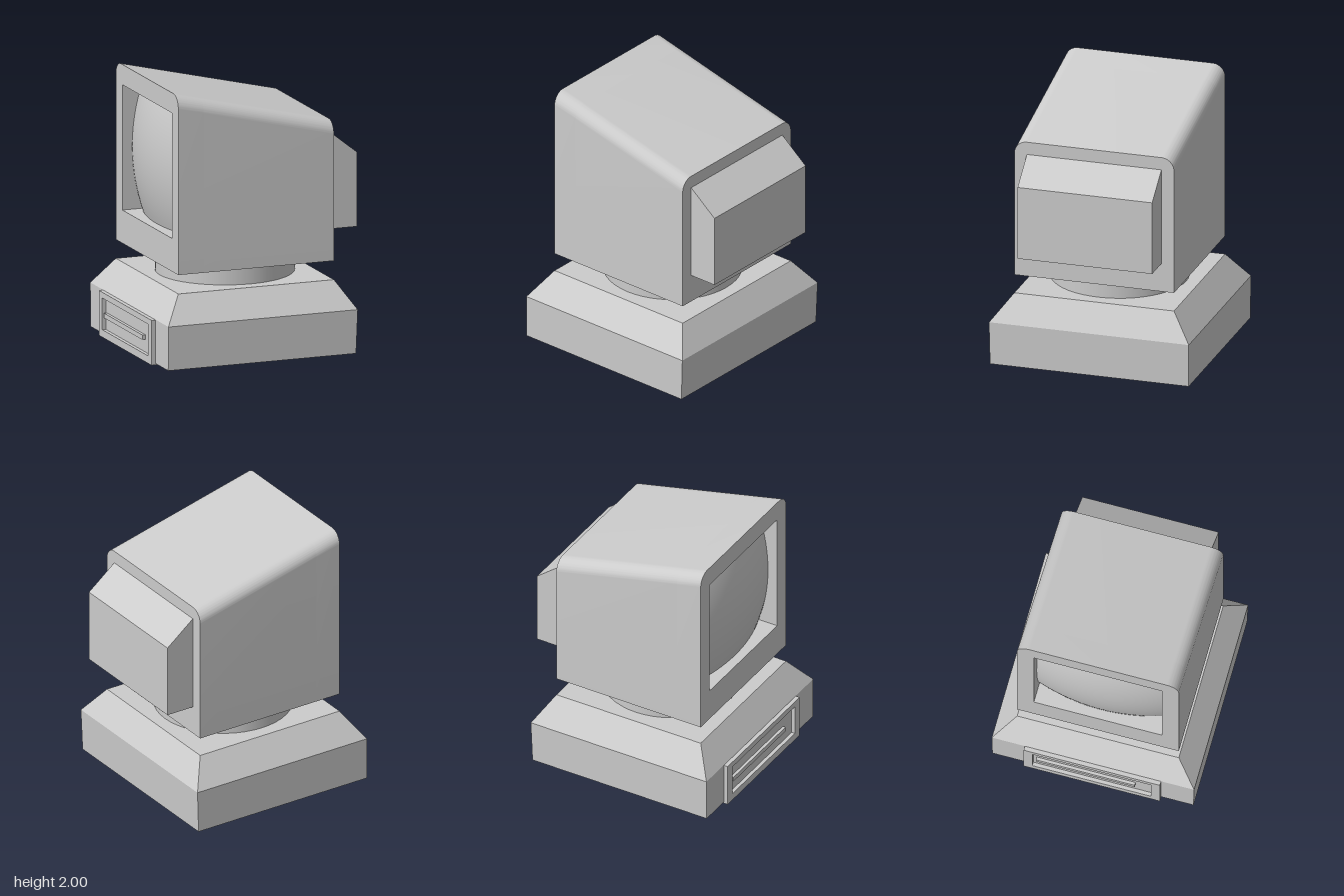
import * as THREE from 'three';
import { toCreasedNormals } from 'three/addons/utils/BufferGeometryUtils.js';

const material = new THREE.MeshStandardMaterial({ color: 0xcccccc });

function addPart(group, name, geometry) {
  const mesh = new THREE.Mesh(geometry, material);
  mesh.name = name;
  group.add(mesh);
  return mesh;
}

// Rectangle path in (z, y), used as outline or hole
function rect(target, halfZ, y0, y1) {
  target.moveTo(-halfZ, y0);
  target.lineTo(halfZ, y0);
  target.lineTo(halfZ, y1);
  target.lineTo(-halfZ, y1);
  target.closePath();
  return target;
}

// Extrude a (z, y) shape along x from x0 to x1
function extrudeX(shape, x0, x1) {
  const g = new THREE.ExtrudeGeometry(shape, { depth: x1 - x0, bevelEnabled: false, curveSegments: 10 });
  return g.rotateY(Math.PI / 2).translate(x0, 0, 0);
}

// Monitor section: square at the bottom, rounded at the top corners
function caseShape() {
  const s = new THREE.Shape();
  s.moveTo(-0.605, 0.675);
  s.lineTo(0.605, 0.675);
  s.lineTo(0.605, 1.905);
  s.absellipse(0.51, 1.905, 0.095, 0.095, 0, Math.PI / 2);
  s.lineTo(-0.51, 2);
  s.absellipse(-0.51, 1.905, 0.095, 0.095, Math.PI / 2, Math.PI);
  s.closePath();
  return s;
}

// Lower the outer roof towards the back, leaving the screen opening square
function slopeRoof(geometry) {
  const p = geometry.attributes.position;
  for (let i = 0; i < p.count; i++) {
    if (p.getY(i) > 1.55 && Math.abs(p.getZ(i)) > 0.5) {
      p.setY(i, p.getY(i) - (p.getX(i) + 0.63) * 0.24);
    }
  }
  return toCreasedNormals(geometry, 0.5);
}

function createBase() {
  // Bottom, shoulder and top rows: [y, xMin, xMax, halfZ]
  const rows = [[0.01, -0.768, 0.693, 0.753], [0.335, -0.768, 0.705, 0.757], [0.535, -0.63, 0.58, 0.605]];
  const g = new THREE.BoxGeometry(2, 2, 2, 1, 2, 1).toNonIndexed();
  const p = g.attributes.position;
  for (let i = 0; i < p.count; i++) {
    const [y, x0, x1, hz] = rows[Math.round(p.getY(i)) + 1];
    p.setXYZ(i, p.getX(i) < 0 ? x0 : x1, y, p.getZ(i) * hz);
  }
  g.computeVertexNormals();
  return g;
}

// Bulging glass, a patch of a large sphere facing -x
function createScreen() {
  const g = new THREE.PlaneGeometry(0.96, 0.93, 24, 24);
  const p = g.attributes.position;
  for (let i = 0; i < p.count; i++) {
    p.setZ(i, -(p.getX(i) ** 2 + p.getY(i) ** 2) / 2.8);
  }
  g.computeVertexNormals();
  return g.rotateY(-Math.PI / 2).translate(-0.635, 1.385, 0);
}

export function createModel() {
  const model = new THREE.Group();
  model.name = 'desktopComputer';

  // Base unit and swivel neck
  addPart(model, 'base', createBase());
  addPart(model, 'neck', new THREE.CylinderGeometry(0.505, 0.505, 0.16, 48)).position.set(-0.025, 0.605, 0);

  // Monitor: open bezel at the screen end, solid case behind it
  const monitor = new THREE.Group();
  monitor.name = 'monitor';
  model.add(monitor);
  const bezel = caseShape();
  bezel.holes.push(rect(new THREE.Path(), 0.48, 0.92, 1.85));
  addPart(monitor, 'bezel', slopeRoof(extrudeX(bezel, -0.63, -0.43)));
  addPart(monitor, 'case', slopeRoof(extrudeX(caseShape(), -0.43, 0.58)));
  addPart(monitor, 'screen', createScreen());

  // Tube housing with a sloped top
  const housing = new THREE.Shape([[0.56, 0.89], [0.8, 0.89], [0.8, 1.44], [0.58, 1.615], [0.56, 1.615]]
    .map(([x, y]) => new THREE.Vector2(x, y)));
  addPart(monitor, 'tubeHousing',
    new THREE.ExtrudeGeometry(housing, { depth: 1.02, bevelEnabled: false }).translate(0, 0, -0.51));

  // Disk drive: raised frame, recessed panel, slot
  const drive = new THREE.Group();
  drive.name = 'diskDrive';
  model.add(drive);
  const frame = rect(new THREE.Shape(), 0.51, 0, 0.333);
  frame.holes.push(rect(new THREE.Path(), 0.445, 0.055, 0.29));
  addPart(drive, 'driveFrame', extrudeX(frame, -0.8, -0.74));
  addPart(drive, 'drivePanel', new THREE.BoxGeometry(0.03, 0.24, 0.9)).position.set(-0.757, 0.172, 0);
  addPart(drive, 'driveSlot', new THREE.BoxGeometry(0.03, 0.035, 0.74)).position.set(-0.78, 0.165, -0.05);

  return model;
}
